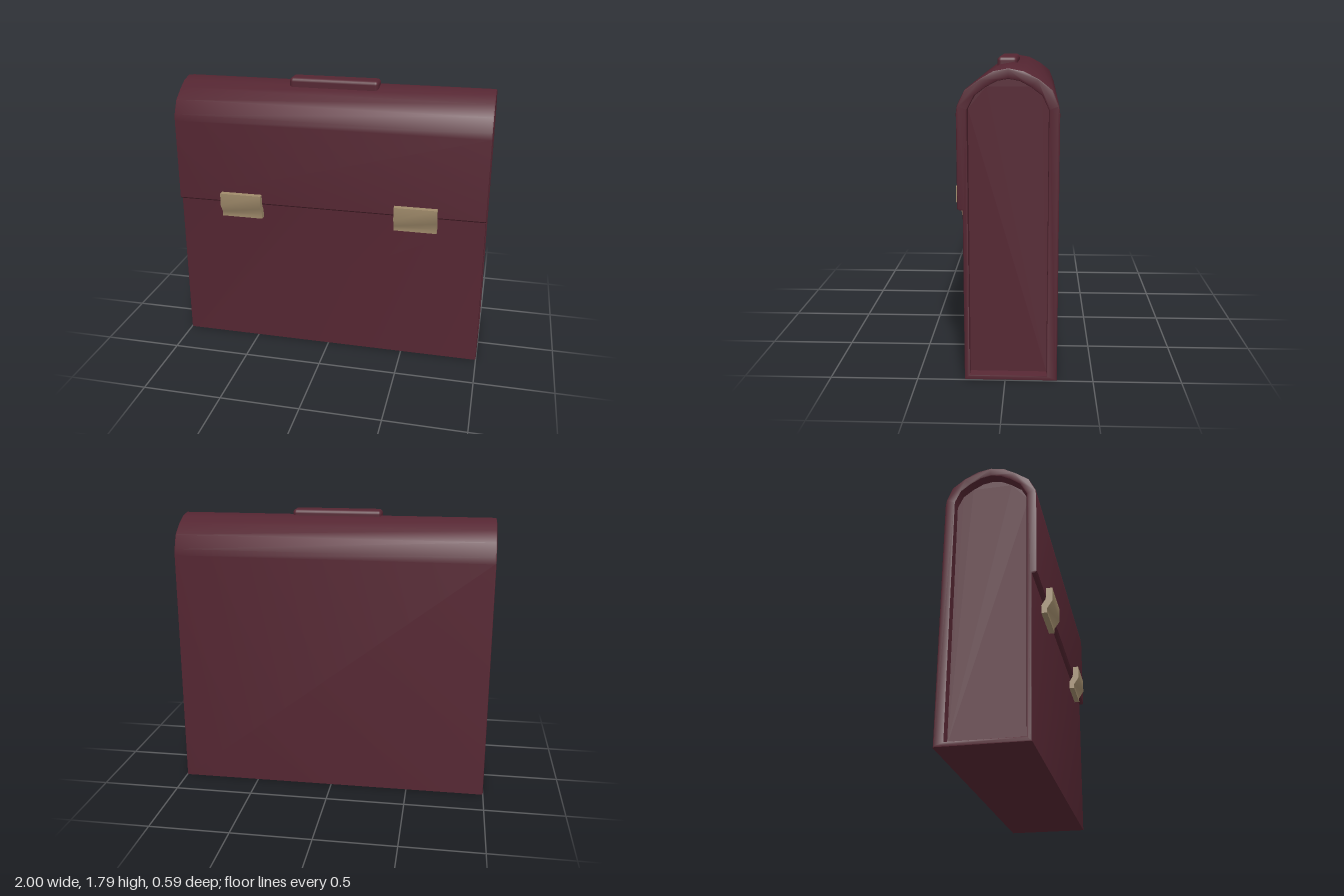
import * as THREE from 'three';
import { toCreasedNormals } from 'three/addons/utils/BufferGeometryUtils.js';
import { RoundedBoxGeometry } from 'three/addons/geometries/RoundedBoxGeometry.js';

const toPoints = (list) => list.map(([z, y]) => new THREE.Vector2(z, y));

// Extrudes a (z, y) side profile along x, centred on x = 0
function extrudeAcross(profile, width, bevel, crease, hole) {
  const shape = new THREE.Shape(toPoints(profile));
  if (hole) shape.holes.push(new THREE.Path(toPoints(hole)));
  const depth = width - 2 * bevel;
  const geometry = new THREE.ExtrudeGeometry(shape, {
    depth,
    bevelEnabled: bevel > 0,
    bevelThickness: bevel,
    bevelSize: bevel,
    bevelOffset: -bevel,
    bevelSegments: 2,
  });
  geometry.translate(0, 0, -depth / 2);
  geometry.rotateY(-Math.PI / 2);
  return toCreasedNormals(geometry, crease);
}

export function createModel() {
  const leather = new THREE.MeshStandardMaterial({ color: 0x552632 });
  leather.name = 'burgundy leather';
  const brass = new THREE.MeshStandardMaterial({ color: 0xa08b6b });
  brass.name = 'dull brass';

  const group = new THREE.Group();
  group.name = 'briefcase';
  const add = (geometry, material, name) => {
    const mesh = new THREE.Mesh(geometry, material);
    mesh.name = name;
    group.add(mesh);
    return mesh;
  };

  // Wrap-around shell: back, arched top and front flap overhanging the lower front
  const outer = [
    [-0.295, 0], [0.23, 0], [0.23, 0.99], [0.25, 0.99], [0.26, 1.0],
    [0.26, 1.52], [0.255, 1.56], [0.213, 1.645], [0.13, 1.705], [0.06, 1.745], [-0.02, 1.76],
    [-0.1, 1.745], [-0.18, 1.705], [-0.256, 1.645], [-0.29, 1.56], [-0.295, 1.52],
  ];
  const inner = [
    [-0.235, 0.03], [0.2, 0.03], [0.2, 1.54], [0.16, 1.615], [0.1, 1.66], [0.04, 1.692],
    [-0.02, 1.703], [-0.08, 1.692], [-0.14, 1.66], [-0.2, 1.615], [-0.235, 1.54],
  ];
  add(extrudeAcross(outer, 2, 0.008, 0.7, inner), leather, 'shell');

  // Gusset body, set back from both ends of the shell
  add(extrudeAcross(inner, 1.88, 0, 0.6), leather, 'gussets');

  // Low rounded handle on the crown
  const handle = add(new RoundedBoxGeometry(0.57, 0.09, 0.125, 3, 0.025), leather, 'handle');
  handle.position.set(0, 1.748, 0.016);

  // Two stepped clasps joining the flap to the front
  const clasp = [
    [0.23, 0.895], [0.265, 0.895], [0.265, 0.925], [0.298, 0.975],
    [0.298, 1.06], [0.255, 1.06], [0.255, 0.985], [0.23, 0.945],
  ];
  for (const [side, name] of [[-1, 'rightClasp'], [1, 'leftClasp']]) {
    add(extrudeAcross(clasp, 0.27, 0, 0.7), brass, name).position.x = side * 0.568;
  }
  return group;
}
